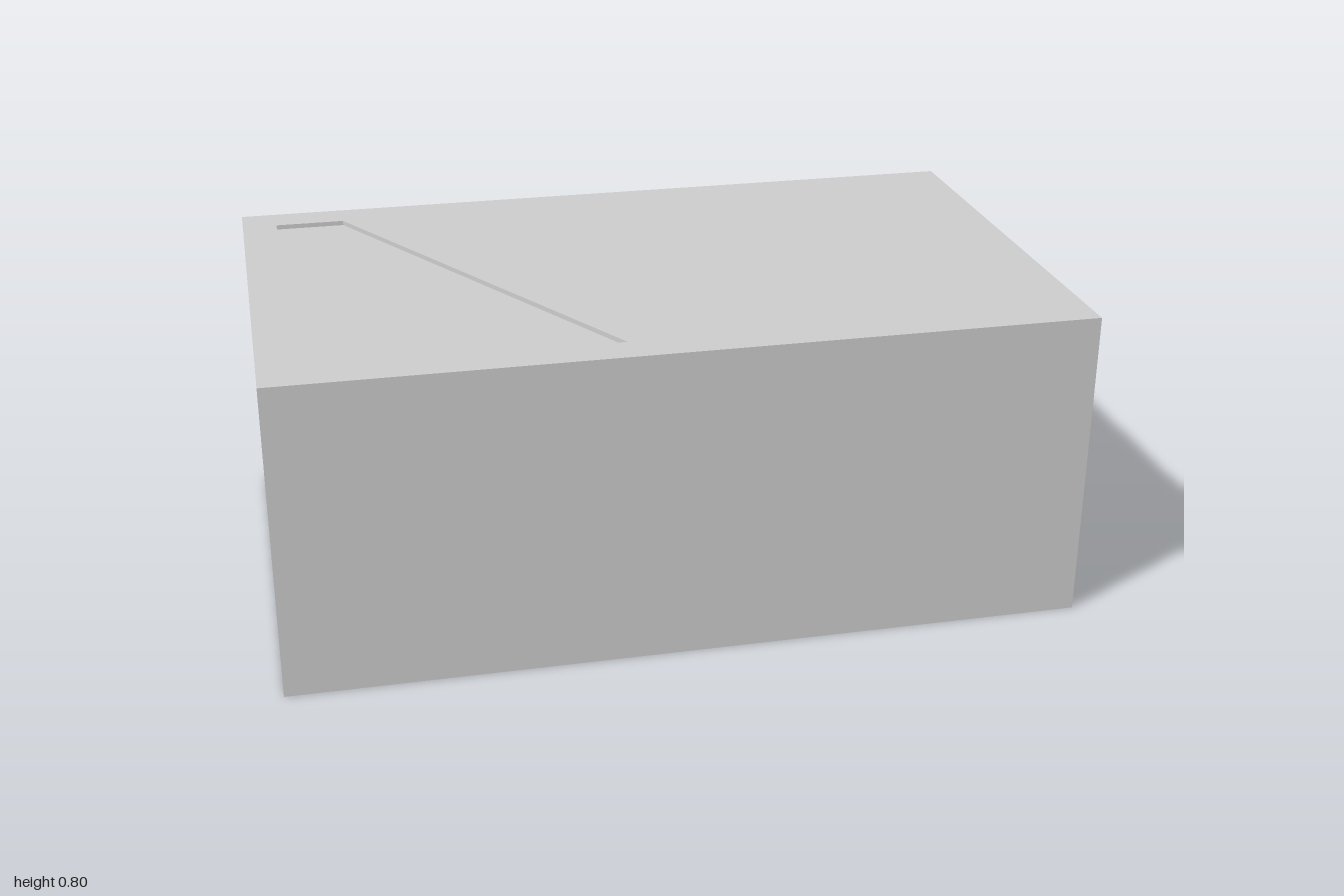
import * as THREE from 'three';

const W = 2, D = 1.2, H = 0.8, T = 0.085; // outer size and wall thickness
const RECESS = 0.012; // depth of the panel below the roof faces
const material = new THREE.MeshStandardMaterial({ color: 0xcccccc, flatShading: true });

const rectangle = (x, z) => [[-x, z], [x, z], [x, -z], [-x, -z]];

// Upright slab between two heights, from an [x, z] outline and an optional hole
function slab(name, outline, y0, y1, hole) {
  const toPoints = (list) => list.map(([x, z]) => new THREE.Vector2(x, -z));
  const shape = new THREE.Shape(toPoints(outline));
  if (hole) shape.holes.push(new THREE.Path(toPoints(hole)));
  const geometry = new THREE.ExtrudeGeometry(shape, { depth: y1 - y0, bevelEnabled: false });
  geometry.rotateX(-Math.PI / 2).translate(0, y0, 0);
  const mesh = new THREE.Mesh(geometry, material);
  mesh.name = name;
  return mesh;
}

export function createModel() {
  const model = new THREE.Group();
  model.name = 'openBottomBox';

  const outer = rectangle(W / 2, D / 2);
  const inner = rectangle(W / 2 - T, D / 2 - T);
  // Slanted opening at the right end of the roof
  const opening = [[-0.91, 0.508], [-0.145, 0.508], [-0.73, -0.508], [-0.91, -0.508]];

  model.add(
    slab('walls', outer, 0, H - T, inner),
    slab('roof', outer, H - T, H, opening),
    // Panel sunk slightly into the opening
    slab('insetPanel', opening, H - T + RECESS, H - RECESS),
  );
  return model;
}
